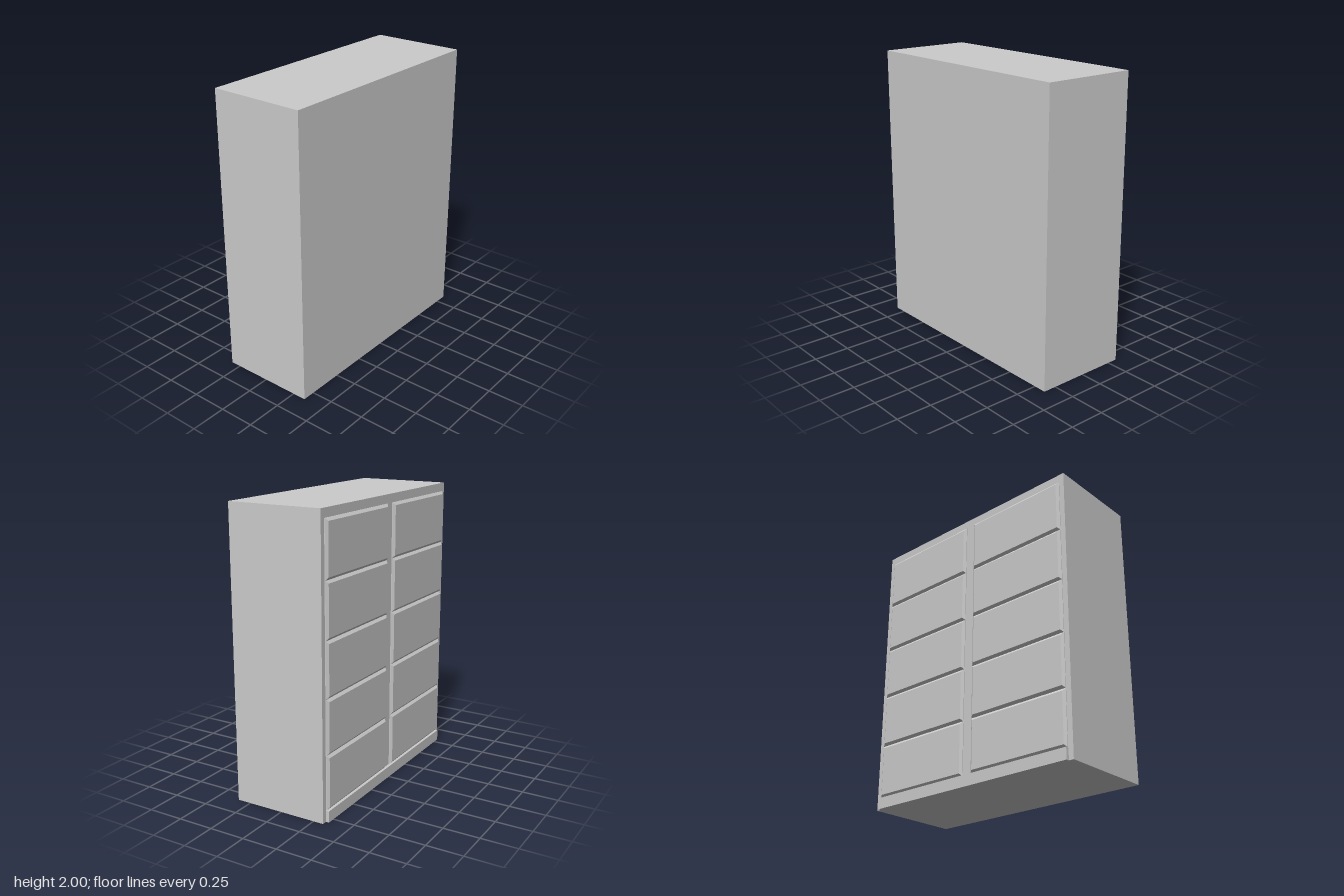
import * as THREE from 'three';

const material = new THREE.MeshStandardMaterial({ color: 0xcccccc, flatShading: true });

function addBox(group, name, [x0, x1], [y0, y1], [z0, z1]) {
  const mesh = new THREE.Mesh(new THREE.BoxGeometry(x1 - x0, y1 - y0, z1 - z0), material);
  mesh.position.set((x0 + x1) / 2, (y0 + y1) / 2, (z0 + z1) / 2);
  mesh.name = name;
  group.add(mesh);
}

// Slab facing -z: a thin straight edge, then a bevel up to a smaller flat face
function drawerGeometry(w, h, edge, depth, inset) {
  const indexed = new THREE.BoxGeometry(w, h, 2, 1, 1, 2);
  const p = indexed.attributes.position;
  for (let i = 0; i < p.count; i++) {
    const layer = Math.round(p.getZ(i)); // 1 = base, 0 = edge, -1 = outer face
    p.setZ(i, layer === 1 ? 0 : layer === 0 ? -edge : -depth);
    if (layer === -1) {
      p.setX(i, p.getX(i) - Math.sign(p.getX(i)) * inset);
      p.setY(i, p.getY(i) - Math.sign(p.getY(i)) * inset);
    }
  }
  const geometry = indexed.toNonIndexed();
  geometry.computeVertexNormals();
  return geometry;
}

export function createModel() {
  const model = new THREE.Group();
  model.name = 'drawerCabinet';
  const backZ = -0.324;

  // Cabinet body and the strip along its foot
  addBox(model, 'cabinetBody', [-0.84, 0.84], [0, 2], [backZ, 0.346]);
  addBox(model, 'plinth', [-0.805, 0.805], [0, 0.078], [-0.346, backZ]);

  // Two columns of five drawer fronts
  const inner = 0.036, outer = 0.803, bottom = 0.08, pitch = 0.372;
  const geometry = drawerGeometry(outer - inner, pitch, 0.004, 0.018, 0.018);
  for (const side of [-1, 1]) {
    for (let row = 0; row < 5; row++) {
      const drawer = new THREE.Mesh(geometry, material);
      drawer.name = `${side > 0 ? 'left' : 'right'}DrawerFront${row + 1}`;
      drawer.position.set(side * (inner + outer) / 2, bottom + pitch * (row + 0.5), backZ);
      model.add(drawer);
    }
  }
  return model;
}
